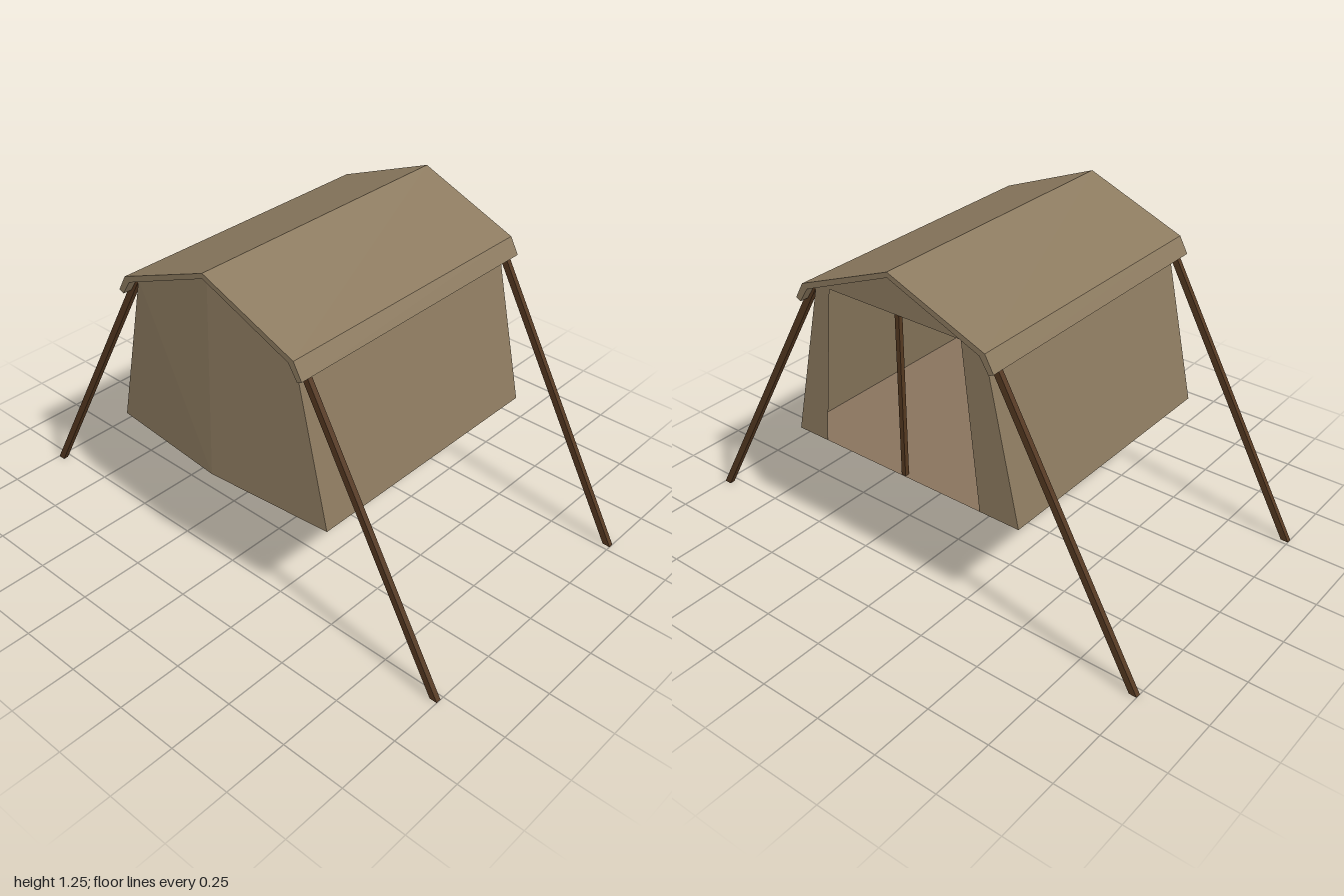
import * as THREE from 'three';

const canvas = new THREE.MeshStandardMaterial({ color: 0x8c7a5f, side: THREE.DoubleSide, flatShading: true });
canvas.name = 'canvas';
const ground = new THREE.MeshStandardMaterial({ color: 0x88735d, side: THREE.DoubleSide, flatShading: true });
ground.name = 'floor cloth';
const wood = new THREE.MeshStandardMaterial({ color: 0x543820, flatShading: true });
wood.name = 'wood';

const LEFT = 0.54, RIGHT = -0.535;      // x of the open and closed ends
const BASE = 0.45, EAVE = 1.075, RIDGE = 1.23;
const BASE_Z = 0.51, EAVE_Z = 0.37;

// Flat convex panels, each a list of corner points, fanned into triangles
function panels(...polys) {
  const pos = [];
  for (const p of polys)
    for (let i = 1; i < p.length - 1; i++) pos.push(...p[0], ...p[i], ...p[i + 1]);
  const g = new THREE.BufferGeometry();
  g.setAttribute('position', new THREE.Float32BufferAttribute(pos, 3));
  g.computeVertexNormals();
  return g;
}

// Shape drawn in (z, y)
const shapeZY = (pts) => new THREE.Shape(pts.map(([z, y]) => new THREE.Vector2(z, y)));

// Square pole between two points, with its ends cut level
function poleGeometry(a, b, wx, wz) {
  const g = new THREE.BoxGeometry(wx, 1, wz);
  const p = g.attributes.position;
  for (let i = 0; i < p.count; i++) {
    const t = p.getY(i) + 0.5;
    p.setXYZ(i,
      p.getX(i) + a[0] + (b[0] - a[0]) * t,
      a[1] + (b[1] - a[1]) * t,
      p.getZ(i) + a[2] + (b[2] - a[2]) * t);
  }
  g.computeVertexNormals();
  return g;
}

export function createModel() {
  const tent = new THREE.Group();
  tent.name = 'tent';
  const add = (name, geometry, material) => {
    const m = new THREE.Mesh(geometry, material);
    m.name = name;
    tent.add(m);
  };

  // Roof: folded sheet with drooping eaves
  const outer = [[0, 1.25], [0.4, 1.09], [0.435, 1.027]];
  const inner = [[0.415, 1.017], [0.378, 1.075], [0, RIDGE]];
  const half = [...outer, ...inner.slice(0, 2)];
  const mirrored = half.slice(1).reverse().map(([z, y]) => [-z, y]);
  const profile = [...half, inner[2], ...mirrored];
  const roof = new THREE.ExtrudeGeometry(shapeZY(profile), { depth: 1.145, bevelEnabled: false });
  roof.rotateY(-Math.PI / 2).translate(0.575, 0, 0);
  add('roof', roof, canvas);

  // Sloping long walls
  for (const s of [1, -1])
    add(s > 0 ? 'frontWall' : 'backWall', panels([
      [RIGHT, BASE, s * BASE_Z], [LEFT, BASE, s * BASE_Z],
      [LEFT, EAVE, s * EAVE_Z], [RIGHT, EAVE, s * EAVE_Z]]), canvas);

  // Closed end, bulging outwards along its middle
  const midBase = [-0.577, BASE, 0], midTop = [-0.551, RIDGE, 0];
  add('closedEnd', panels(...[1, -1].map((s) => [
    midBase, [RIGHT, BASE, s * BASE_Z], [RIGHT, EAVE, s * EAVE_Z], midTop])), canvas);

  // Open end with a tapered doorway
  const doorEnd = new THREE.ShapeGeometry(shapeZY([
    [BASE_Z, BASE], [EAVE_Z, EAVE], [0, RIDGE], [-EAVE_Z, EAVE], [-BASE_Z, BASE],
    [-0.345, BASE], [-0.275, 1.083], [0.305, 1.083], [0.37, BASE]]));
  doorEnd.rotateY(-Math.PI / 2).translate(LEFT, 0, 0);
  add('doorEnd', doorEnd, canvas);

  // Floor
  add('floor', panels([
    midBase, [RIGHT, BASE, BASE_Z], [LEFT, BASE, BASE_Z],
    [LEFT, BASE, -BASE_Z], [RIGHT, BASE, -BASE_Z]]), ground);

  // Door post
  add('doorPost', poleGeometry([0.528, BASE, 0], [0.528, 1.215, 0], 0.018, 0.018), wood);

  // Splayed legs
  for (const x of [-0.525, 0.53])
    for (const s of [1, -1])
      add('leg', poleGeometry([x, 0, s * 0.985], [x, 1.07, s * 0.385], 0.02, 0.03), wood);

  return tent;
}
